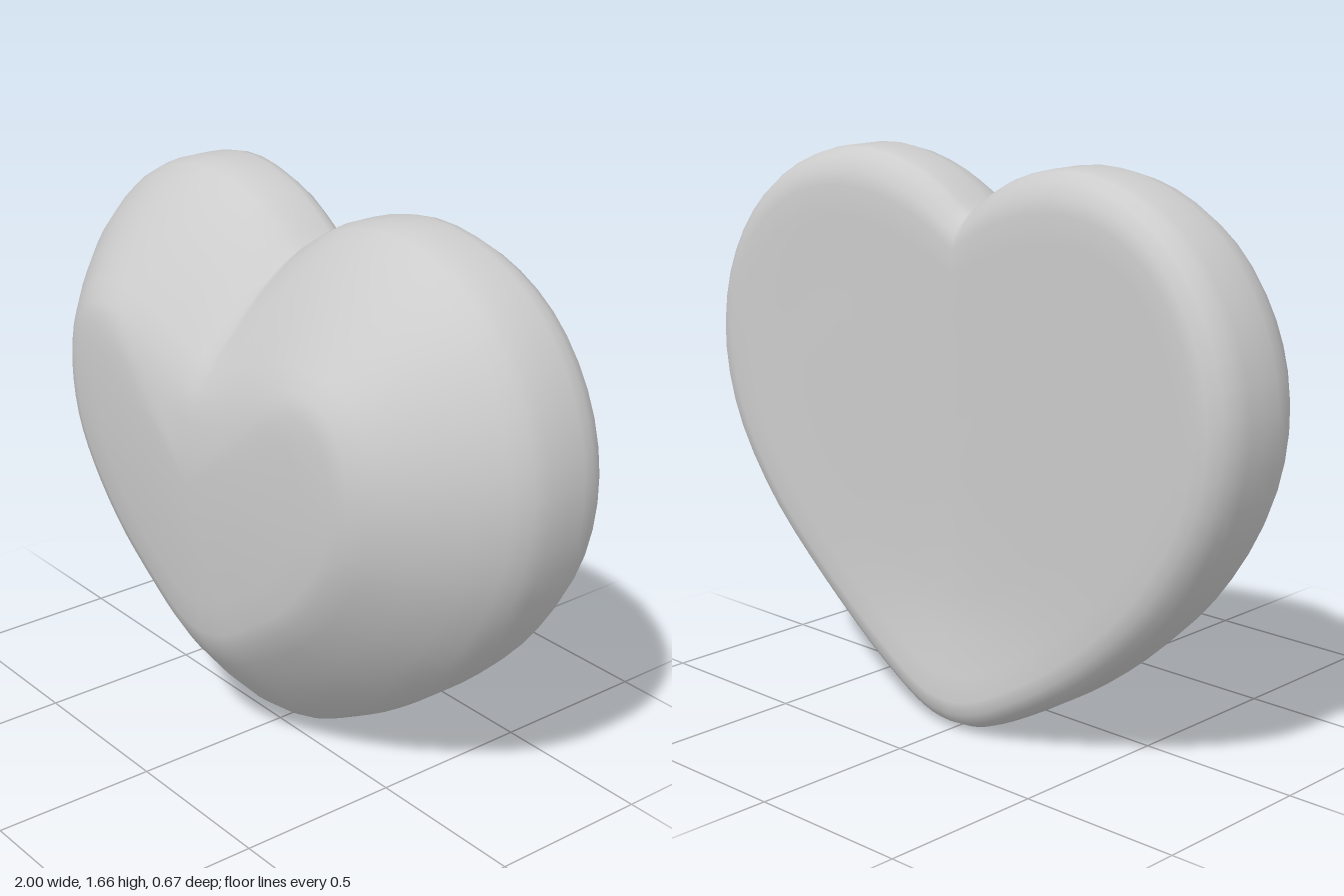
import * as THREE from 'three';

const SEGMENTS = 40; // per half outline
const CENTRE = new THREE.Vector2(0, 0.88);

// Closed heart loop from a right-hand half profile, running notch -> tip -> notch
function heartLoop(half) {
  const curve = new THREE.SplineCurve(half.map(([x, y]) => new THREE.Vector2(x, y)));
  const right = [];
  for (let i = 0; i <= SEGMENTS; i++) right.push(curve.getPoint(i / SEGMENTS));
  const left = right.slice(1, -1).reverse().map(p => new THREE.Vector2(-p.x, p.y));
  return right.concat(left);
}

// Widest outline, and the matching edge of the raised front face
const outer = heartLoop([
  [0, 1.5], [0.17, 1.61], [0.4, 1.66], [0.63, 1.615], [0.82, 1.49], [0.95, 1.29],
  [1, 1.05], [0.95, 0.79], [0.8, 0.535], [0.6, 0.33], [0.39, 0.17], [0.19, 0.055], [0.08, 0.01], [0, 0],
]);
const inner = heartLoop([
  [0, 1.11], [0.12, 1.125], [0.27, 1.19], [0.41, 1.24], [0.52, 1.22], [0.585, 1.13],
  [0.6, 1.01], [0.57, 0.87], [0.49, 0.74], [0.38, 0.62], [0.26, 0.53], [0.14, 0.45], [0.06, 0.42], [0, 0.41],
]);

// Rings from back to front: [inset, z]; 0 = outer, 1 = inner, towards 2 = centre
const RINGS = [
  [1.75, -0.335], [1.4, -0.335], [1, -0.335], [0.7, -0.335], [0.42, -0.336], [0.24, -0.335], [0.14, -0.325],
  [0.06, -0.298], [0.015, -0.26], [0, -0.22], [0, -0.16], [0, -0.1], [0.03, -0.05], [0.1, 0.0],
  [0.25, 0.08], [0.48, 0.17], [0.72, 0.25], [0.87, 0.289], [1, 0.307], [1.2, 0.317], [1.55, 0.329],
];

// The back is hollowed across its width, fading out towards the tip
function hollow(x, y, z) {
  const back = THREE.MathUtils.clamp((-0.16 - z) / 0.14, 0, 1);
  const across = 1 - Math.min(1, Math.abs(x) / 0.95) ** 1.3;
  const aboveTip = 1 - Math.exp(-((y / 0.25) ** 2));
  return z + 0.058 * back * across * aboveTip;
}

function heartGeometry() {
  const n = outer.length, positions = [], index = [];
  for (const [inset, z] of RINGS) {
    for (let i = 0; i < n; i++) {
      const p = inset <= 1
        ? outer[i].clone().lerp(inner[i], inset)
        : inner[i].clone().lerp(CENTRE, inset - 1);
      positions.push(p.x, p.y, hollow(p.x, p.y, z));
    }
  }
  const backCentre = RINGS.length * n, frontCentre = backCentre + 1;
  positions.push(CENTRE.x, CENTRE.y, hollow(CENTRE.x, CENTRE.y, -0.335), CENTRE.x, CENTRE.y, 0.335);

  // Loops run clockwise seen from the front
  for (let i = 0; i < n; i++) {
    const j = (i + 1) % n;
    for (let r = 0; r < RINGS.length - 1; r++) {
      const a = r * n + i, b = r * n + j, c = a + n, d = b + n;
      index.push(a, c, b, b, c, d);
    }
    const last = (RINGS.length - 1) * n;
    index.push(backCentre, i, j, frontCentre, last + j, last + i);
  }
  const geometry = new THREE.BufferGeometry();
  geometry.setAttribute('position', new THREE.Float32BufferAttribute(positions, 3));
  geometry.setIndex(index);
  geometry.computeVertexNormals();
  return geometry;
}

export function createModel() {
  const group = new THREE.Group();
  group.name = 'heart';
  const grey = new THREE.MeshStandardMaterial({ color: 0xcccccc });
  grey.name = 'light grey';
  const body = new THREE.Mesh(heartGeometry(), grey);
  body.name = 'heartBody';
  group.add(body);
  return group;
}
